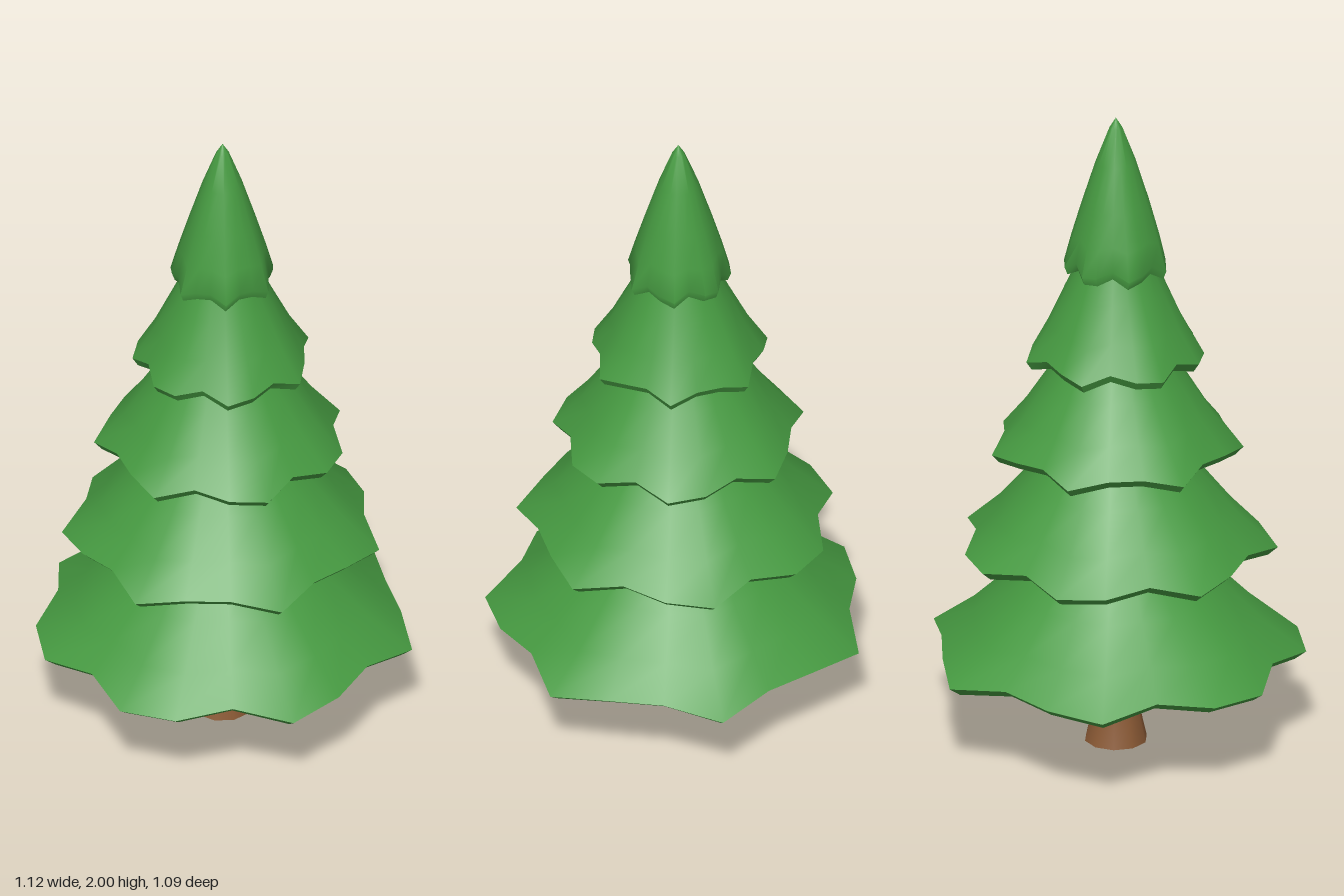
import * as THREE from 'three';
import { toCreasedNormals } from 'three/addons/utils/BufferGeometryUtils.js';

// Skin closed rings, listed from the underside outwards and up; point(ring, angle) -> [x, y, z]
function loft(rings, sides, point) {
  const pos = [], index = [];
  rings.forEach((ring, i) => {
    for (let j = 0; j < sides; j++) {
      pos.push(...point(ring, (j / sides) * Math.PI * 2));
      if (i === rings.length - 1) continue;
      const a = i * sides + j, b = i * sides + ((j + 1) % sides);
      index.push(a, a + sides, b, b, a + sides, b + sides);
    }
  });
  const geo = new THREE.BufferGeometry();
  geo.setAttribute('position', new THREE.Float32BufferAttribute(pos, 3));
  geo.setIndex(index);
  return toCreasedNormals(geo, 0.85);
}

// One skirt of branches with a seven-lobed rim; lobes reach outwards and droop
function tierGeometry(radius, rimY, phase, droop, upper) {
  // [radius factor, height above rim, lobe strength]
  const rings = [
    [0.002, 0.07, 0], [0.45, 0.055, 0.2], [0.94, -0.025, 1], // hollow underside and lip
    [1, 0, 1], ...upper,
  ];
  return loft(rings, 20, ([f, h, lobe], t) => {
    const wave = Math.cos(7 * t - phase) * lobe;
    const r = radius * f * (1 + 0.075 * wave);
    return [r * Math.cos(t), rimY + h - droop * wave, r * Math.sin(t)];
  });
}

export function createModel() {
  const tree = new THREE.Group();
  tree.name = 'pineTree';
  const green = new THREE.MeshStandardMaterial({ color: 0x469a41 });
  const brown = new THREE.MeshStandardMaterial({ color: 0x8b5a35 });

  // Flared trunk, [radius, height]
  const trunkRings = [[0.002, 0], [0.094, 0], [0.078, 0.07], [0.065, 0.16], [0.058, 0.27], [0.054, 0.4]];
  const trunk = new THREE.Mesh(
    loft(trunkRings, 10, ([r, y], t) => [r * Math.cos(t), y, r * Math.sin(t)]), brown);
  trunk.name = 'trunk';
  tree.add(trunk);

  // Stacked foliage: flaring skirts, topped by a pointed cone
  const skirt = [[0.8, 0.09, 0.55], [0.6, 0.2, 0.2], [0.42, 0.3, 0.05], [0.3, 0.38, 0], [0.002, 0.4, 0]];
  const cone = [[0.87, 0.08, 0.6], [0.68, 0.18, 0.35], [0.4, 0.315, 0.1], [0.13, 0.423, 0], [0.002, 0.455, 0]];
  const tiers = [[0.54, 0.305], [0.447, 0.645], [0.354, 0.965], [0.254, 1.255], [0.15, 1.545]];
  tiers.forEach(([radius, rimY], i) => {
    const top = i === tiers.length - 1;
    const tier = new THREE.Mesh(
      tierGeometry(radius, rimY, i * 0.7, 0.016, top ? cone : skirt), green);
    tier.name = top ? 'treeTop' : `foliageTier${i + 1}`;
    tree.add(tier);
  });

  // The lobed lowest skirt is lopsided, so the trunk sits slightly off centre
  tree.children.forEach((part) => { part.position.x = -0.025; });
  return tree;
}
